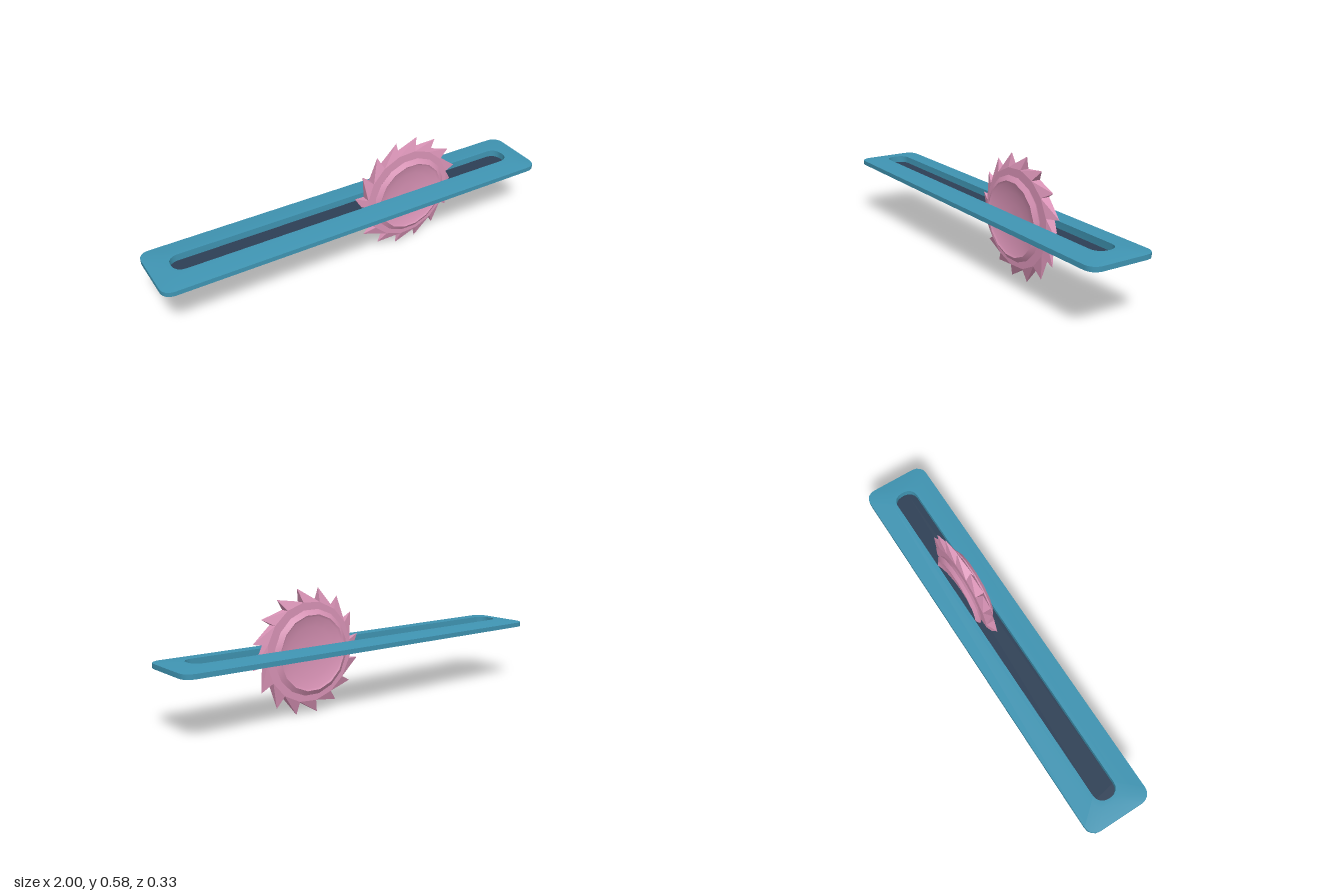
import * as THREE from 'three';
import { toCreasedNormals } from 'three/addons/utils/BufferGeometryUtils.js';

const teal = new THREE.MeshStandardMaterial({ name: 'teal rail', color: 0x3f94b2, side: THREE.DoubleSide });
const navy = new THREE.MeshStandardMaterial({ name: 'navy slot', color: 0x2d3f55, side: THREE.DoubleSide });
const pink = new THREE.MeshStandardMaterial({ name: 'pink saw', color: 0xd993b6 });

function addMesh(parent, name, geometry, material) {
  const mesh = new THREE.Mesh(geometry, material);
  mesh.name = name;
  parent.add(mesh);
  return mesh;
}

// Rounded rectangle in the xz plane, running from +x towards +z
function roundedLoop(hx, hz, r, y, steps = 4) {
  const loop = [];
  [[1, 1], [-1, 1], [-1, -1], [1, -1]].forEach(([sx, sz], corner) => {
    for (let i = 0; i <= steps; i++) {
      const a = (corner + i / steps) * Math.PI / 2;
      loop.push(new THREE.Vector3(sx * (hx - r) + r * Math.cos(a), y, sz * (hz - r) + r * Math.sin(a)));
    }
  });
  return loop;
}

function fromTriangles(points) {
  const geometry = new THREE.BufferGeometry().setFromPoints(points);
  geometry.computeVertexNormals();
  return geometry;
}

// Skin between successive loops of equal length
function loft(loops) {
  const points = [];
  for (let k = 0; k < loops.length - 1; k++) {
    const a = loops[k], b = loops[k + 1];
    a.forEach((p, i) => {
      const j = (i + 1) % a.length;
      points.push(p, b[i], b[j], p, b[j], a[j]);
    });
  }
  return fromTriangles(points);
}

// Sixteen raked, pointed teeth around a flat-sided disc
function bladeGeometry() {
  const teeth = 16, step = Math.PI * 2 / teeth, points = [];
  const at = (r, a, z) => new THREE.Vector3(r * Math.cos(a), r * Math.sin(a), z);
  const rootR = 0.23, tipR = 0.294, half = 0.022;
  for (let i = 0; i < teeth; i++) {
    const tipAngle = THREE.MathUtils.degToRad(80) + i * step;
    const front = tipAngle + 0.035, back = front + step;
    const tip = at(tipR, tipAngle, 0);
    const f1 = at(rootR, front, half), f2 = at(rootR, front, -half);
    const b1 = at(rootR, back, half), b2 = at(rootR, back, -half);
    points.push(
      f1, tip, b1, f2, b2, tip,       // tooth flanks
      f1, f2, tip, b1, tip, b2,       // cutting face and back
      at(0, 0, half), f1, b1, at(0, 0, -half), b2, f2 // disc sides
    );
  }
  return fromTriangles(points);
}

function lathe(profile) {
  const points = profile.map(([r, y]) => new THREE.Vector2(r, y));
  return new THREE.LatheGeometry(points, 16, Math.PI / 16).rotateX(Math.PI / 2);
}

export function createModel() {
  const model = new THREE.Group();
  model.name = 'sawOnRail';

  // Rail shell: outer wall, sloped border, flat lip, slot wall
  const rail = new THREE.Group();
  rail.name = 'rail';
  model.add(rail);
  const shell = loft([
    roundedLoop(1, 0.163, 0.05, 0.293),
    roundedLoop(1, 0.163, 0.05, 0.315),
    roundedLoop(0.925, 0.075, 0.05, 0.327),
    roundedLoop(0.905, 0.056, 0.048, 0.327),
    roundedLoop(0.905, 0.056, 0.048, 0.294),
  ]);
  addMesh(rail, 'railShell', toCreasedNormals(shell, 0.5), teal);

  // Slot floor
  const outline = roundedLoop(0.905, 0.056, 0.048, 0).map(p => new THREE.Vector2(p.x, p.z));
  const floor = new THREE.ShapeGeometry(new THREE.Shape(outline)).rotateX(-Math.PI / 2);
  addMesh(rail, 'slotFloor', floor, navy).position.y = 0.294;

  // Saw blade with a dished hub on both sides
  const saw = new THREE.Group();
  saw.name = 'saw';
  saw.position.set(0.305, 0.296, 0);
  model.add(saw);
  addMesh(saw, 'blade', bladeGeometry(), pink);
  const ring = toCreasedNormals(lathe([[0.183, 0.02], [0.198, 0.035], [0.175, 0.05]]), 0.5);
  const dish = lathe([[0.175, 0.05], [0.165, 0.044], [0.12, 0.033], [0.06, 0.026], [0, 0.024]]);
  for (const side of ['front', 'back']) {
    const hub = new THREE.Group();
    hub.name = side + 'Hub';
    hub.rotation.y = side === 'front' ? 0 : Math.PI;
    addMesh(hub, side + 'HubRing', ring, pink);
    addMesh(hub, side + 'HubDish', dish, pink);
    saw.add(hub);
  }
  return model;
}
